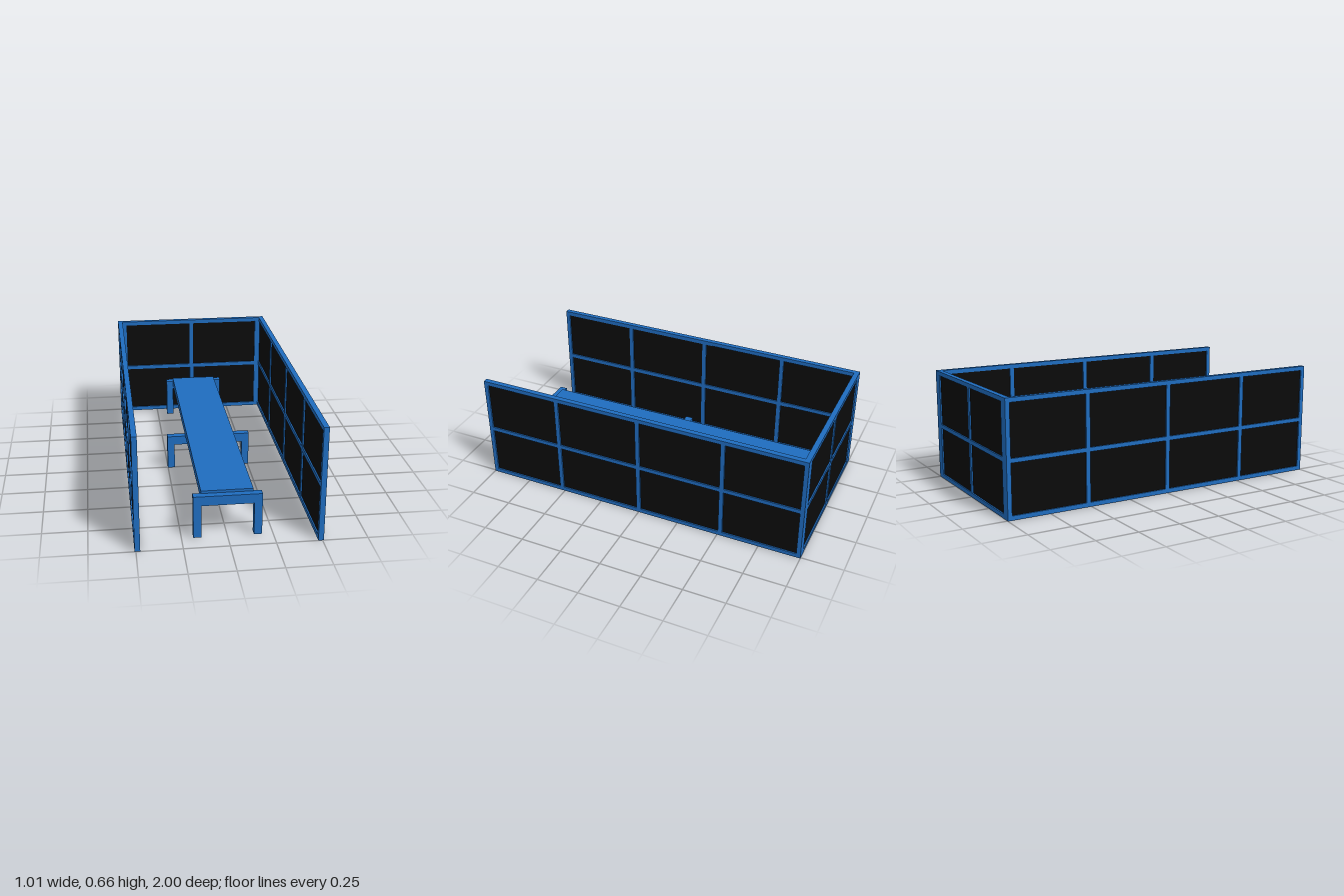
import * as THREE from 'three';

const blue = new THREE.MeshStandardMaterial({ color: 0x1f6cbf });
const black = new THREE.MeshStandardMaterial({ color: 0x0b0b0b });

// Box given by its lower and upper corners
function box(parent, name, [x0, y0, z0], [x1, y1, z1], material = blue) {
  const mesh = new THREE.Mesh(new THREE.BoxGeometry(x1 - x0, y1 - y0, z1 - z0), material);
  mesh.position.set((x0 + x1) / 2, (y0 + y1) / 2, (z0 + z1) / 2);
  mesh.name = name;
  parent.add(mesh);
}

const H = 0.658, BAR = 0.025, T = 0.03;

// Framed wall in the XY plane, centred on x = 0: one pierced frame with a thin dark infill
function wall(name, length, posts, endPost) {
  const group = new THREE.Group();
  group.name = name;
  const half = length / 2;
  const frame = new THREE.Shape();
  frame.moveTo(-half, 0).lineTo(half, 0).lineTo(half, H).lineTo(-half, H).closePath();
  const rows = [[BAR, 0.312], [0.336, H - BAR]];
  const edges = [-half + endPost - BAR / 2, ...posts, half - endPost + BAR / 2];
  for (let i = 0; i < edges.length - 1; i++) {
    const a = edges[i] + BAR / 2, b = edges[i + 1] - BAR / 2;
    for (const [lo, hi] of rows) {
      const hole = new THREE.Path();
      hole.moveTo(a, lo).lineTo(a, hi).lineTo(b, hi).lineTo(b, lo).closePath();
      frame.holes.push(hole);
    }
  }
  const geometry = new THREE.ExtrudeGeometry(frame, { depth: T, bevelEnabled: false });
  geometry.translate(0, 0, -T / 2);
  const mesh = new THREE.Mesh(geometry, blue);
  mesh.name = 'wallFrame';
  group.add(mesh);
  const inset = 0.01;
  box(group, 'wallInfill', [-half + inset, inset, -0.007], [half - inset, H - inset, 0.007], black);
  return group;
}

// Beam on two legs
function trestle(name, halfWidth, beamBottom, top, z, legWidth) {
  const group = new THREE.Group();
  group.name = name;
  const d = 0.022, inner = halfWidth - legWidth;
  box(group, 'beam', [-inner, beamBottom, -d], [inner, top, d]);
  box(group, 'leftLeg', [inner, 0.008, -d], [halfWidth, top, d]);
  box(group, 'rightLeg', [-halfWidth, 0.008, -d], [-inner, top, d]);
  group.position.z = z;
  return group;
}

export function createModel() {
  const model = new THREE.Group();
  model.name = 'benchEnclosure';

  // Side walls and back wall
  for (const side of [1, -1]) {
    const w = wall(side > 0 ? 'leftWall' : 'rightWall', 2, [-0.517, 0, 0.517], BAR);
    w.rotation.y = Math.PI / 2;
    w.position.x = side * 0.492;
    model.add(w);
  }
  const back = wall('backWall', 0.954, [0], 0.027);
  back.position.z = -0.985;
  model.add(back);

  // Bench: plank on three trestles
  const bench = new THREE.Group();
  bench.name = 'bench';
  box(bench, 'plank', [-0.142, 0.216, -0.876], [0.142, 0.267, 0.868]);
  bench.add(
    trestle('frontTrestle', 0.187, 0.197, 0.252, 0.884, 0.044),
    trestle('backTrestle', 0.187, 0.197, 0.252, -0.875, 0.044),
    trestle('middleTrestle', 0.252, 0.162, 0.216, 0, 0.043)
  );
  model.add(bench);
  return model;
}
